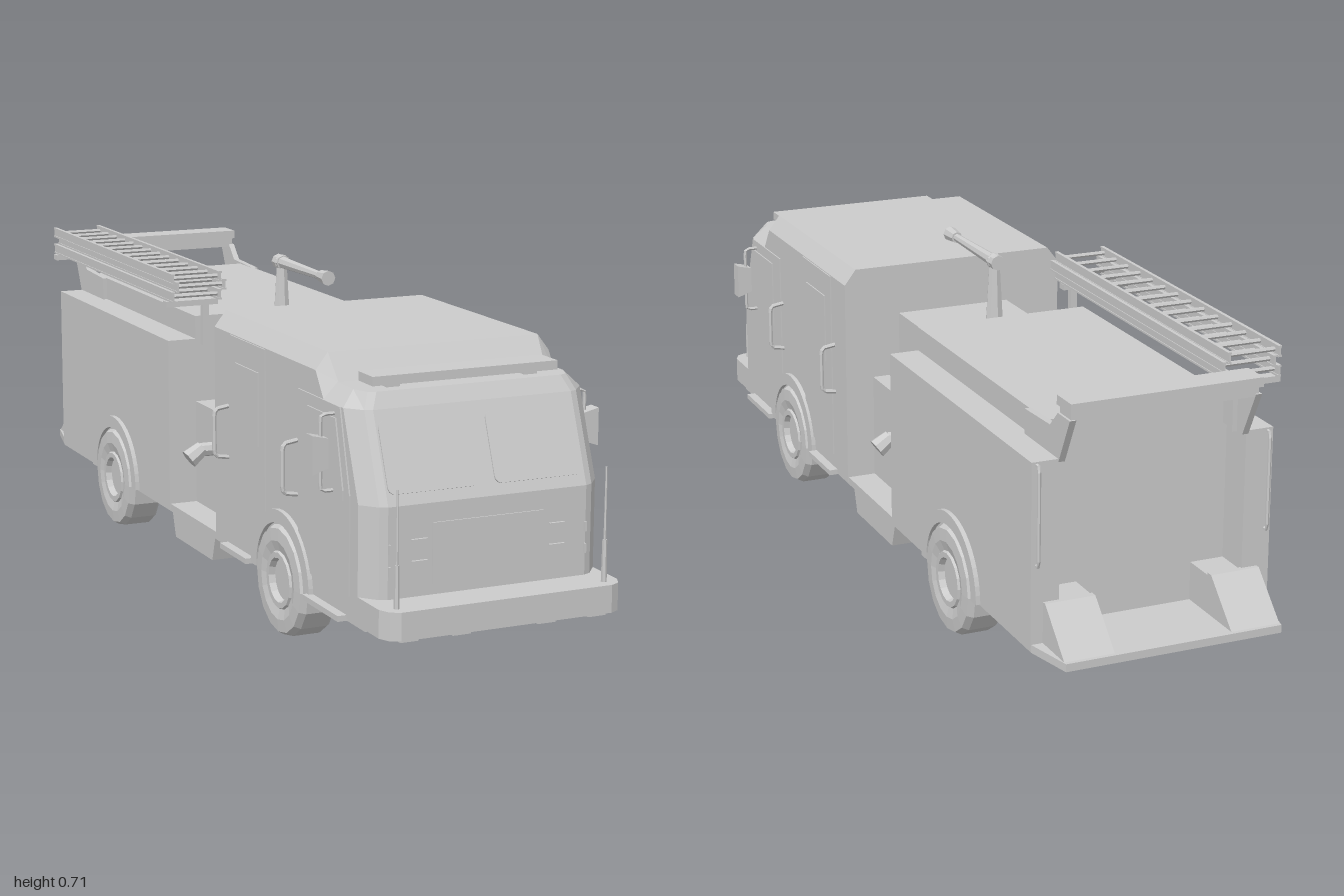
import * as THREE from 'three';

const mat = new THREE.MeshStandardMaterial({ color: 0xcccccc, flatShading: true });

export function createModel() {
  const root = new THREE.Group();

  const add = (name, geo, x = 0, y = 0, z = 0, parent = root) => {
    const m = new THREE.Mesh(geo, mat);
    m.name = name;
    m.position.set(x, y, z);
    parent.add(m);
    return m;
  };
  // Box given by its min and max on each axis
  const box = (name, x0, x1, y0, y1, z0, z1, parent) =>
    add(name, new THREE.BoxGeometry(x1 - x0, y1 - y0, z1 - z0), (x0 + x1) / 2, (y0 + y1) / 2, (z0 + z1) / 2, parent);
  // Same box on both sides of the truck
  const boxPair = (name, x0, x1, ...r) => {
    box(name + 'Left', x0, x1, ...r);
    box(name + 'Right', -x1, -x0, ...r);
  };

  // Solid skin through rings of equal point count, capped at both ends
  const loft = (name, rings) => {
    const tris = [];
    const n = rings[0].length;
    for (let i = 0; i + 1 < rings.length; i++)
      for (let j = 0; j < n; j++) {
        const k = (j + 1) % n;
        const a = rings[i][j], b = rings[i][k], c = rings[i + 1][k], d = rings[i + 1][j];
        tris.push([a, b, c], [a, c, d]);
      }
    const first = rings[0], last = rings[rings.length - 1];
    for (let j = 1; j + 1 < n; j++)
      tris.push([first[0], first[j + 1], first[j]], [last[0], last[j], last[j + 1]]);
    // Turn the faces outward when the signed volume is negative
    const v = (p) => new THREE.Vector3(...p);
    const volume = tris.reduce((s, [a, b, c]) => s + v(a).dot(v(b).cross(v(c))), 0);
    const flat = tris.flatMap(([a, b, c]) => (volume < 0 ? [a, c, b] : [a, b, c])).flat();
    const g = new THREE.BufferGeometry();
    g.setAttribute('position', new THREE.Float32BufferAttribute(flat, 3));
    g.computeVertexNormals();
    return add(name, g);
  };
  // Horizontal ring mirrored in x, from half outline points [x, z]
  const ring = (half, y) => [
    ...half.map(([x, z]) => [x, y, z]),
    ...[...half].reverse().map(([x, z]) => [-x, y, z]),
  ];

  // Thin plate in the z-y plane standing out from x by d on both sides
  const sideShape = (name, shape, x, d) => {
    const g = new THREE.ExtrudeGeometry(shape, { depth: d, bevelEnabled: false, curveSegments: 12 });
    g.rotateY(-Math.PI / 2);
    add(name + 'Left', g, x + d);
    add(name + 'Right', g, -x);
  };
  const sidePlate = (name, pts, x, d) =>
    sideShape(name, new THREE.Shape(pts.map((p) => new THREE.Vector2(...p))), x, d);
  const tube = (name, pts, r) =>
    [1, -1].forEach((s) => {
      const path = new THREE.CurvePath();
      const p = pts.map(([x, y, z]) => new THREE.Vector3(s * x, y, z));
      for (let i = 0; i + 1 < p.length; i++) path.add(new THREE.LineCurve3(p[i], p[i + 1]));
      add(name, new THREE.TubeGeometry(path, 18, r, 6));
    });

  // Floor with tapered tailboard
  const floor = [[0.265, 0.9], [0.265, -0.89], [0.24, -1]];
  loft('floor', [ring(floor, 0.115), ring(floor, 0.132)]);

  // Front bumper
  const bumper = [[0.267, 0.87], [0.267, 0.965], [0.255, 0.99], [0.235, 1]];
  loft('bumper', [ring(bumper, 0.12), ring(bumper, 0.178)]);
  [-0.21, -0.095, 0.095, 0.21].forEach((x) => box('bumperPad', x - 0.02, x + 0.02, 0.112, 0.12, 0.93, 0.985));

  // Cab
  const cabRing = (y, f, inset = 0) => {
    const w = 0.267 - inset;
    return ring([[w, 0.14], [w, f - 0.042], [0.238 - inset / 2, f - 0.007], [0.222 - inset / 2, f]], y);
  };
  loft('cabBody', [cabRing(0.12, 0.912), cabRing(0.365, 0.912), cabRing(0.545, 0.842), cabRing(0.577, 0.825, 0.03)]);
  const roof = (z, top, w) => [
    [-0.267, 0.5, z], [-0.267, top - 0.035, z], [-w, top, z], [w, top, z], [0.267, top - 0.035, z], [0.267, 0.5, z],
  ];
  loft('cabRoof', [roof(0.14, 0.632, 0.24), roof(0.67, 0.632, 0.24), roof(0.71, 0.577, 0.235)]);
  box('lightBar', -0.208, 0.208, 0.585, 0.604, 0.745, 0.81);
  boxPair('lightBarFoot', 0.14, 0.17, 0.57, 0.59, 0.76, 0.795);

  // Windscreen panes with rounded corners
  const pane = new THREE.Shape();
  const pw = 0.1, ph = 0.073, pr = 0.015;
  pane.absarc(pw - pr, ph - pr, pr, 0, Math.PI / 2);
  pane.absarc(-pw + pr, ph - pr, pr, Math.PI / 2, Math.PI);
  pane.absarc(-pw + pr, -ph + pr, pr, Math.PI, Math.PI * 1.5);
  pane.absarc(pw - pr, -ph + pr, pr, Math.PI * 1.5, Math.PI * 2);
  [1, -1].forEach((s) => {
    const m = add('windscreen', new THREE.ExtrudeGeometry(pane, { depth: 0.003, bevelEnabled: false, curveSegments: 4 }), s * 0.118, 0.455, 0.877);
    m.rotation.x = -0.371;
  });

  // Front panel with its lamps
  box('frontPanel', -0.125, 0.125, 0.2, 0.325, 0.91, 0.915);
  boxPair('frontTrimUpper', 0.137, 0.172, 0.292, 0.296, 0.91, 0.918);
  boxPair('frontTrimLower', 0.137, 0.172, 0.248, 0.252, 0.91, 0.918);
  [0.235, 0.28].forEach((y) => boxPair('frontMarker', 0.218, 0.222, y - 0.01, y + 0.01, 0.91, 0.918));

  // Cab doors, windows and grab rails
  sidePlate('frontDoor', [[0.59, 0.17], [0.59, 0.545], [0.79, 0.545], [0.835, 0.375], [0.835, 0.17]], 0.266, 0.004);
  sidePlate('frontDoorWindow', [[0.64, 0.36], [0.64, 0.52], [0.775, 0.52], [0.81, 0.38], [0.81, 0.36]], 0.27, 0.003);
  sidePlate('rearDoor', [[0.23, 0.16], [0.23, 0.595], [0.42, 0.595], [0.42, 0.16]], 0.266, 0.004);
  sidePlate('rearDoorWindow', [[0.265, 0.38], [0.265, 0.54], [0.39, 0.54], [0.39, 0.38]], 0.27, 0.003);
  [0.58, 0.215].forEach((z) =>
    tube('grabRail', [[0.265, 0.435, z], [0.296, 0.43, z], [0.3, 0.42, z], [0.3, 0.335, z], [0.296, 0.325, z], [0.265, 0.32, z]], 0.005));

  // Mirrors
  tube('mirrorArm', [[0.265, 0.528, 0.765], [0.298, 0.528, 0.765], [0.3, 0.52, 0.765], [0.3, 0.38, 0.765], [0.298, 0.372, 0.765], [0.265, 0.372, 0.765]], 0.004);
  [1, -1].forEach((s) => {
    const face = (z) => [[0.29, 0.422], [0.29, 0.482], [0.325, 0.49], [0.325, 0.41]].map(([x, y]) => [s * x, y, z]);
    loft('mirror', [face(0.75), face(0.782)]);
  });

  // Bumper antennas
  [1, -1].forEach((s) => {
    add('antennaBase', new THREE.CylinderGeometry(0.005, 0.006, 0.09, 6), s * 0.232, 0.22, 0.972);
    add('antenna', new THREE.CylinderGeometry(0.002, 0.003, 0.18, 6), s * 0.232, 0.325, 0.972);
  });

  // Side steps
  boxPair('rearDoorStep', 0.24, 0.287, 0.116, 0.128, 0.21, 0.355);
  boxPair('frontDoorStep', 0.24, 0.287, 0.116, 0.128, 0.65, 0.82);

  // Pump section with outlets and tapered lower steps
  box('pumpLower', -0.2, 0.2, 0.125, 0.37, -0.145, 0.145);
  box('pumpUpper', -0.135, 0.135, 0.36, 0.517, -0.145, 0.145);
  sidePlate('pumpStep', [[0.122, 0.125], [0.1, 0.057], [-0.122, 0.057], [-0.145, 0.125]], 0.2, 0.06);
  [1, -1].forEach((s) => {
    const neck = add('outletNeck', new THREE.CylinderGeometry(0.016, 0.016, 0.04, 8), s * 0.215, 0.28, -0.035);
    neck.rotation.z = Math.PI / 2;
    const nozzle = add('outletNozzle', new THREE.CylinderGeometry(0.018, 0.023, 0.04, 8), s * 0.244, 0.272, -0.035);
    nozzle.rotation.z = s * 0.95;
  });

  // Rear body, hose bed and recessed tail
  box('rearBody', -0.267, 0.267, 0.12, 0.517, -0.81, -0.14);
  box('hoseBed', -0.2, 0.2, 0.5, 0.57, -0.81, -0.14);
  boxPair('rearColumn', 0.205, 0.267, 0.12, 0.517, -0.89, -0.8);
  boxPair('tailStep', 0.13, 0.21, 0.125, 0.215, -0.89, -0.8);
  sidePlate('tailWedge', [[-0.885, 0.125], [-0.885, 0.22], [-0.9, 0.22], [-0.995, 0.128], [-0.995, 0.125]], 0.13, 0.11);
  sidePlate('tailBracket', [[-0.73, 0.51], [-0.73, 0.57], [-0.85, 0.575], [-0.885, 0.61], [-0.94, 0.61], [-0.89, 0.51]], 0.196, 0.014);
  box('tailBeamLower', -0.205, 0.205, 0.604, 0.626, -0.935, -0.885);
  box('tailBeamUpper', -0.21, 0.21, 0.626, 0.646, -0.945, -0.88);
  tube('tailRail', [[0.255, 0.51, -0.885], [0.255, 0.51, -0.9], [0.255, 0.3, -0.9], [0.255, 0.3, -0.885]], 0.004);

  // Wheels and fenders
  const profile = [
    [0, 0.2], [0.117, 0.2], [0.12, 0.205], [0.12, 0.265], [0.112, 0.279], [0.085, 0.281], [0.063, 0.275],
    [0.06, 0.28], [0.048, 0.28], [0.044, 0.266], [0, 0.266],
  ].map((p) => new THREE.Vector2(...p));
  const wheelGeo = new THREE.LatheGeometry(profile, 16).rotateZ(-Math.PI / 2);
  [0.51, -0.49].forEach((z) => {
    add('wheelLeft', wheelGeo, 0, 0.12, z);
    add('wheelRight', wheelGeo, 0, 0.12, z).rotation.y = Math.PI;
    const arch = new THREE.Shape();
    arch.absarc(z, 0.12, 0.15, 0, Math.PI, false);
    arch.absarc(z, 0.12, 0.122, Math.PI, 0, true);
    sideShape('fender', arch, 0.255, 0.022);
  });

  // Water monitor
  add('monitorBase', new THREE.CylinderGeometry(0.028, 0.032, 0.02, 8), 0, 0.524, -0.1);
  add('monitorPost', new THREE.CylinderGeometry(0.012, 0.022, 0.165, 8), 0, 0.605, -0.1);
  add('monitorJoint', new THREE.SphereGeometry(0.018, 8, 6), 0, 0.688, -0.1);
  [['monitorBarrel', 0.009, 0.014, 0.22, 0.01], ['monitorMuzzle', 0.017, 0.013, 0.04, 0.135], ['monitorTail', 0.017, 0.017, 0.03, -0.105]]
    .forEach(([name, r1, r0, len, z]) => {
      add(name, new THREE.CylinderGeometry(r1, r0, len, 8).rotateX(Math.PI / 2), 0, 0.688, z);
    });

  // Rack with three stacked ladders
  [-0.1, -0.86].forEach((z) => {
    box('rackArm', -0.29, -0.165, 0.604, 0.617, z - 0.012, z + 0.012);
    box('rackPost', -0.2, -0.185, 0.51, 0.606, z - 0.008, z + 0.008);
  });
  [[-0.225, 0.63], [-0.214, 0.652], [-0.225, 0.671]].forEach(([cx, cy], i) => {
    const ladder = new THREE.Group();
    ladder.name = 'ladder' + (i + 1);
    root.add(ladder);
    [-1, 1].forEach((s) => {
      const x = cx + s * 0.057;
      box('railWeb', x - 0.002, x + 0.002, cy - 0.011, cy + 0.011, -0.88, -0.065, ladder);
      [-1, 1].forEach((t) => box('railFlange', x - 0.004, x + 0.004, cy + t * 0.01 - 0.002, cy + t * 0.01 + 0.002, -0.88, -0.065, ladder));
    });
    for (let k = 0; k < 14; k++)
      add('rung', new THREE.CylinderGeometry(0.005, 0.005, 0.114, 6).rotateZ(Math.PI / 2), cx, cy, -0.86 + k * 0.06, ladder);
  });

  return root;
}
